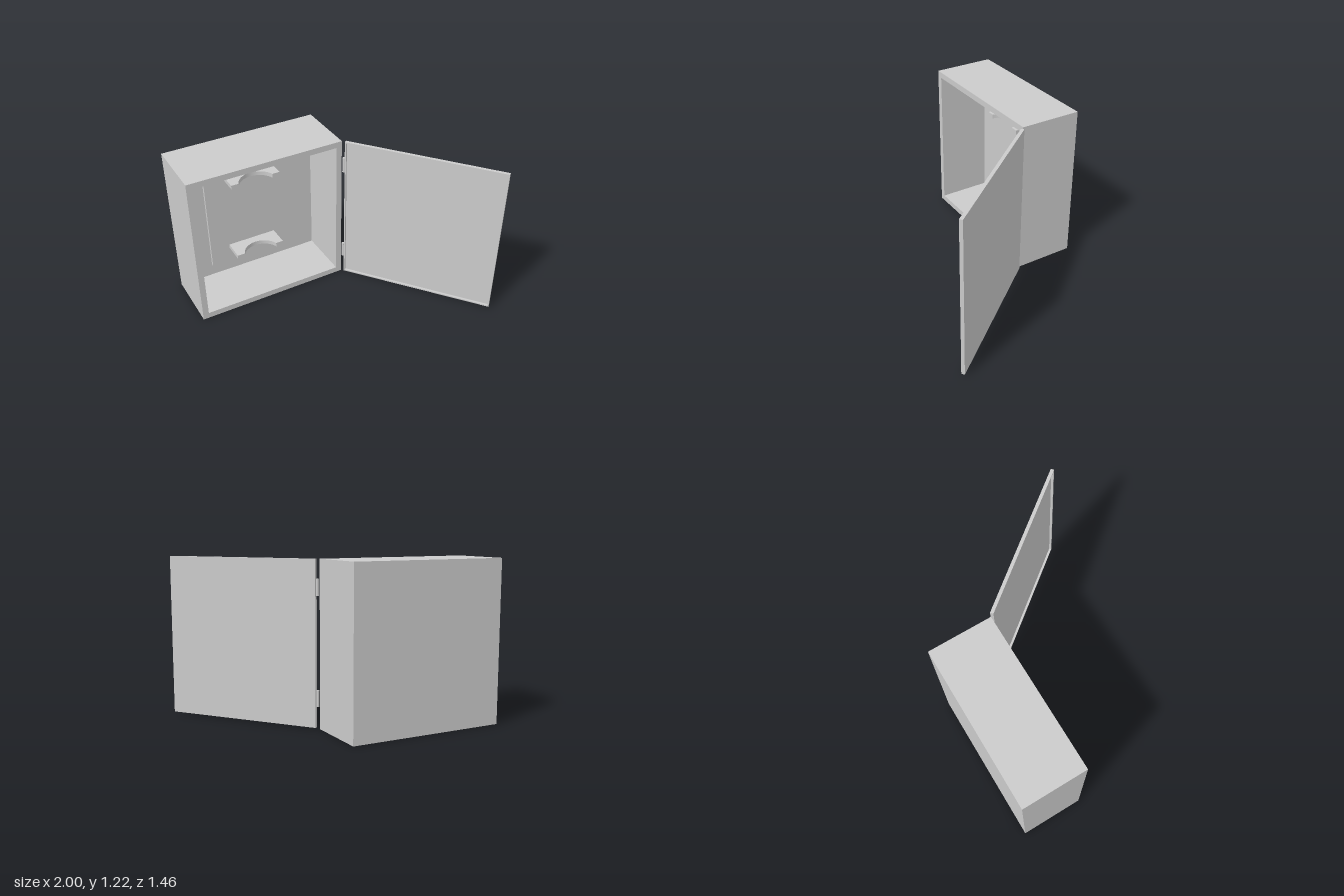
import * as THREE from 'three';

const material = new THREE.MeshStandardMaterial({ color: 0xcccccc, flatShading: true });

function add(parent, name, geometry, x = 0, y = 0, z = 0) {
  const mesh = new THREE.Mesh(geometry, material);
  mesh.name = name;
  mesh.position.set(x, y, z);
  parent.add(mesh);
  return mesh;
}

// Box given by its minimum and maximum corners
function addBox(parent, name, [x0, y0, z0], [x1, y1, z1]) {
  return add(parent, name, new THREE.BoxGeometry(x1 - x0, y1 - y0, z1 - z0),
    (x0 + x1) / 2, (y0 + y1) / 2, (z0 + z1) / 2);
}

// Rectangular frame from the origin, with walls of even width, extruded along z
function frameGeometry(w, h, wall, depth) {
  const rect = (path, a, b, c, d) =>
    path.moveTo(a, b).lineTo(c, b).lineTo(c, d).lineTo(a, d).closePath();
  const shape = rect(new THREE.Shape(), 0, 0, w, h);
  shape.holes.push(rect(new THREE.Path(), wall, wall, w - wall, h - wall));
  return new THREE.ExtrudeGeometry(shape, { depth, bevelEnabled: false });
}

// Flat shelf bracket with a round cut-out in its front edge
function bracketGeometry() {
  const cx = -0.3925, half = 0.1975, back = -0.645, front = -0.475;
  const r = 0.1445, offset = 0.0445, a = Math.asin(offset / r);
  const shape = new THREE.Shape();
  shape.moveTo(cx - half, back);
  shape.lineTo(cx + half, back);
  shape.lineTo(cx + half, front);
  shape.lineTo(cx + r * Math.cos(a), front);
  shape.absarc(cx, front + offset, r, -a, -Math.PI + a, true);
  shape.lineTo(cx - half, front);
  shape.closePath();
  return new THREE.ExtrudeGeometry(shape, { depth: 0.033, bevelEnabled: false, curveSegments: 24 })
    .rotateX(Math.PI / 2);
}

export function createModel() {
  const model = new THREE.Group();
  model.name = 'wallCabinet';

  // Cabinet body, open at the front
  const cabinet = new THREE.Group();
  cabinet.name = 'cabinet';
  model.add(cabinet);
  addBox(cabinet, 'backPanel', [-1, 0, -0.729], [0.215, 1.22, -0.668]);
  add(cabinet, 'cabinetWalls', frameGeometry(1.215, 1.22, 0.046, 0.422), -1, 0, -0.668);

  // Mounting plate with two brackets
  addBox(cabinet, 'mountingPlate', [-0.745, 0.145, -0.67], [-0.04, 1.08, -0.643]);
  const bracket = bracketGeometry();
  for (const top of [0.305, 0.958]) add(cabinet, 'bracket', bracket, 0, top, 0);

  // Hinges
  const hinge = new THREE.CylinderGeometry(0.011, 0.011, 0.12, 16);
  for (const y of [0.225, 1.02]) add(model, 'hinge', hinge, 0.226, y, -0.234);

  // Open door: thin sheet with a raised rim on its inner face
  const door = new THREE.Group();
  door.name = 'door';
  door.position.set(0.245, 0.01, -0.236);
  door.rotation.y = -0.899;
  model.add(door);
  addBox(door, 'doorSheet', [0, 0, 0], [1.213, 1.21, 0.007]);
  add(door, 'doorRim', frameGeometry(1.213, 1.21, 0.01, 0.018), 0, 0, 0.007);

  return model;
}
